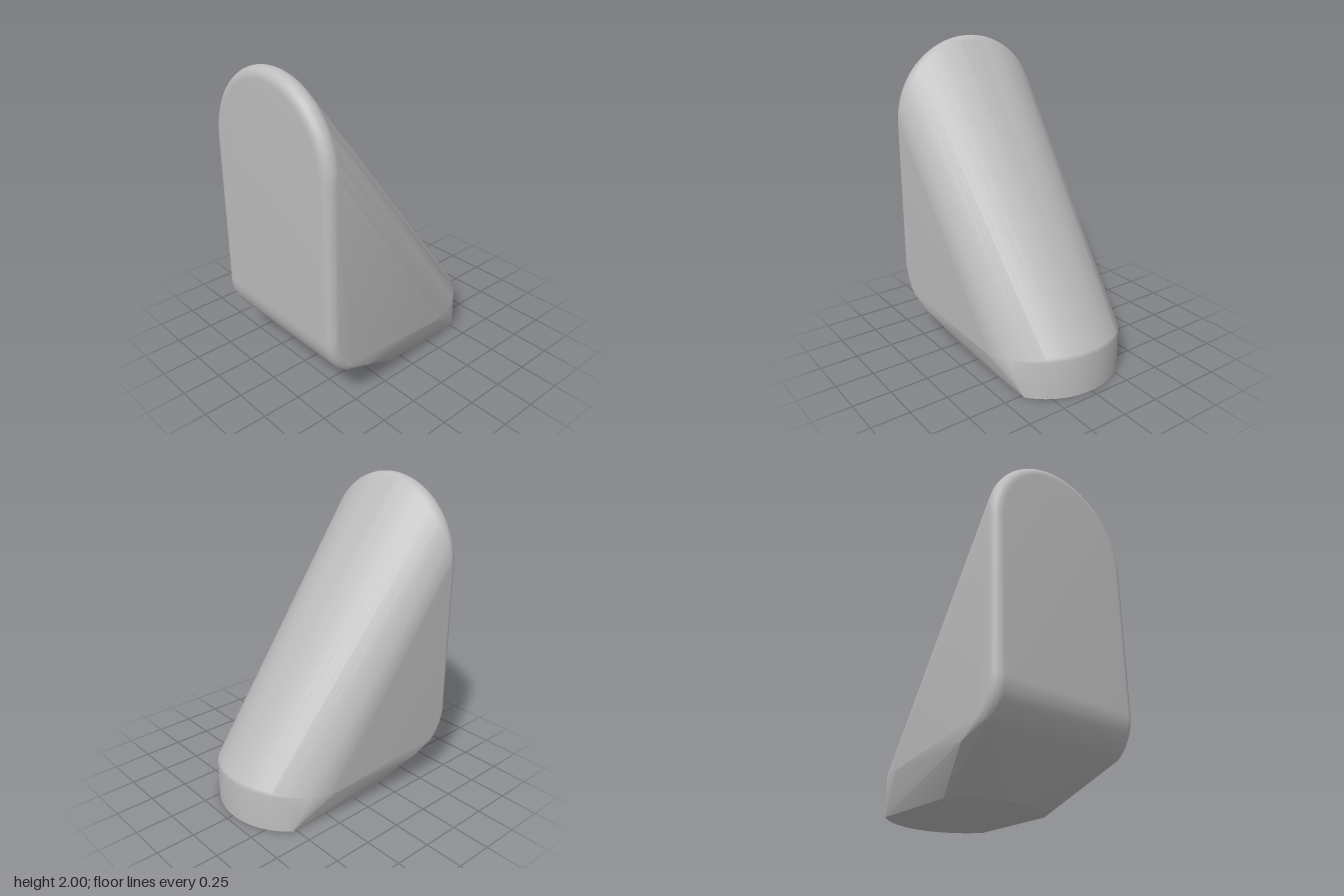
import * as THREE from 'three';
import { toCreasedNormals } from 'three/addons/utils/BufferGeometryUtils.js';
import { ConvexGeometry } from 'three/addons/geometries/ConvexGeometry.js';

export function createModel() {
  const group = new THREE.Group();
  const grey = new THREE.MeshStandardMaterial({ color: 0xbdbdbd });
  grey.name = 'plain grey';
  const pts = [];
  const add = (x, y, z) => pts.push(new THREE.Vector3(x, y, z));

  // Rounded rim: half rings of radius r about a centre, from the outward to the facing direction
  const r = 0.063, half = 0.525 - r, zRim = 0.705 - r;
  const rim = (c, out, face, from) => {
    for (let i = 0; i <= 10; i++) {
      const a = from + (Math.PI / 2 - from) * i / 10;
      pts.push(c.clone().addScaledVector(out, r * Math.cos(a)).addScaledVector(face, r * Math.sin(a)));
    }
  };

  // Arched top of the front face
  const forward = new THREE.Vector3(0, 0, 1);
  for (let i = 0; i <= 40; i++) {
    const a = Math.PI * i / 40;
    const out = new THREE.Vector3(Math.cos(a), Math.sin(a), 0);
    rim(new THREE.Vector3(out.x * half, 1.475 + out.y * half, zRim), out, forward, -Math.PI / 3);
  }

  // Front face rolling under towards the base, on both sides
  const R = 0.31, turn = 0.925;
  for (const s of [-1, 1]) {
    for (let i = 0; i <= 12; i++) {
      const a = turn * i / 12;
      const face = new THREE.Vector3(0, -Math.sin(a), Math.cos(a));
      const c = new THREE.Vector3(s * half, 0.5, 0.705 - R).addScaledVector(face, R - r);
      rim(c, new THREE.Vector3(s, 0, 0), face, 0);
    }
    // Lower side corner
    add(s * 0.507, 0.215, 0.4);
  }

  // Round heel: a half cylinder with a softened upper edge
  const heel = 0.478, zHeel = -0.227;
  for (let i = 0; i <= 40; i++) {
    const a = Math.PI * i / 40, c = Math.cos(a), s = Math.sin(a);
    for (const [d, h] of [[0, 0], [0.002, 0.015], [0.008, 0.028]]) {
      add((heel - d) * c, 0.215 + 0.04 * s + h * s, zHeel - (heel - d) * s);
    }
  }

  // Footprint: a circle cut straight on both sides
  const cut = Math.acos(0.375 / heel);
  for (const s of [-1, 1]) {
    for (let i = 0; i <= 28; i++) {
      const a = cut + (Math.PI - 2 * cut) * i / 28;
      add(heel * Math.cos(a), 0, zHeel + s * heel * Math.sin(a));
    }
  }

  const body = new THREE.Mesh(toCreasedNormals(new ConvexGeometry(pts), 0.35), grey);
  body.name = 'wedgeBody';
  group.add(body);
  return group;
}
